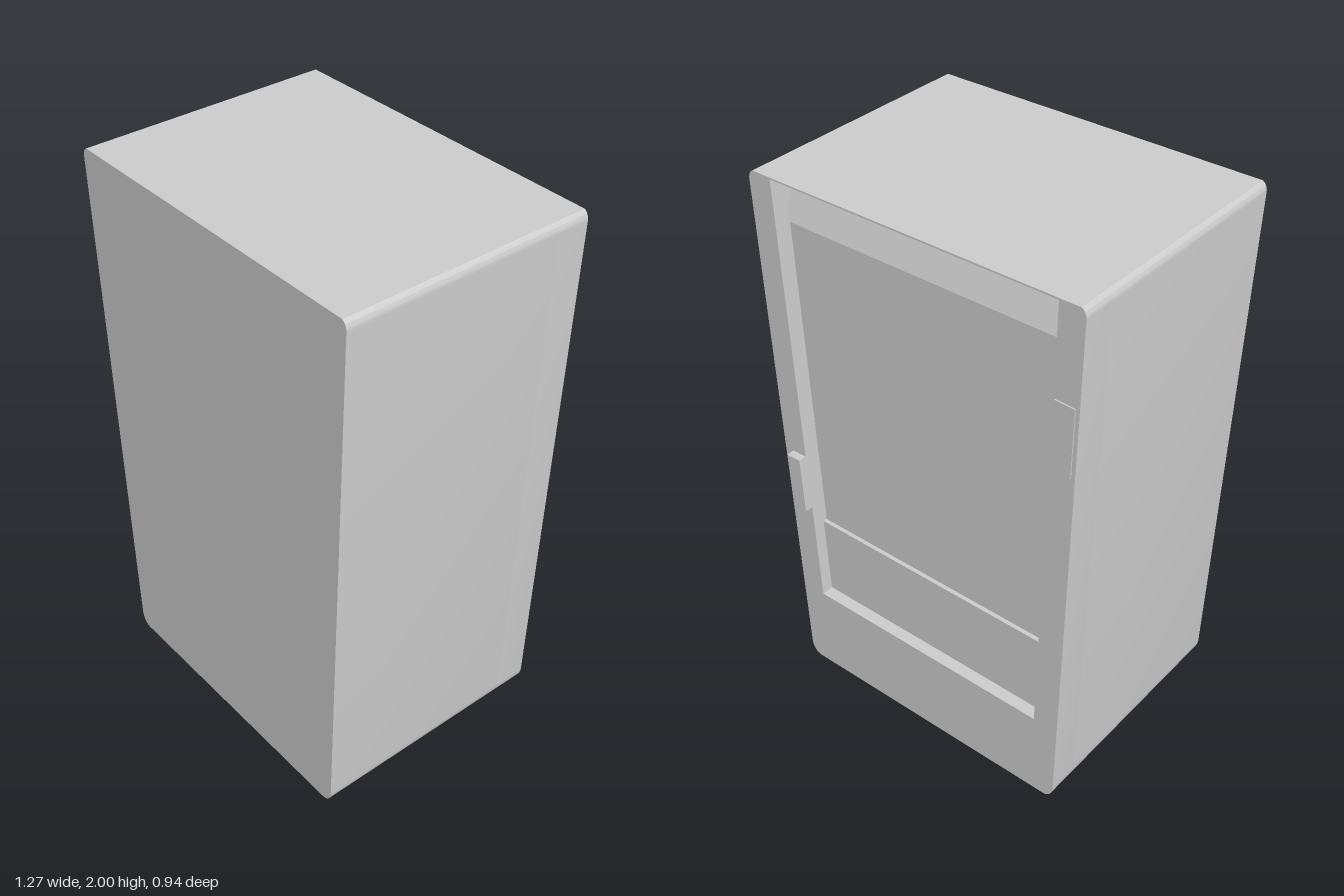
import * as THREE from 'three';
import { toCreasedNormals } from 'three/addons/utils/BufferGeometryUtils.js';

const material = new THREE.MeshStandardMaterial({ color: 0xcccccc });
const FRONT = 0.47, BACK = -0.44, CORE = -0.32; // z planes of the cabinet
const LEAN = Math.atan(0.0335); // outward lean of the side walls

// Tapered cabinet outline, wider at the top, with rounded corners
function outline() {
  const s = new THREE.Shape();
  s.moveTo(-0.53, 0);
  s.lineTo(0.53, 0);
  s.quadraticCurveTo(0.566, 0.004, 0.57, 0.055);
  s.lineTo(0.634, 1.965);
  s.quadraticCurveTo(0.635, 1.99, 0.617, 2);
  s.lineTo(-0.617, 2);
  s.quadraticCurveTo(-0.635, 1.99, -0.634, 1.965);
  s.lineTo(-0.57, 0.055);
  s.quadraticCurveTo(-0.566, 0.004, -0.53, 0);
  return s;
}

function extrude(shape, depth) {
  const g = new THREE.ExtrudeGeometry(shape, { depth, bevelEnabled: false, curveSegments: 6 });
  return toCreasedNormals(g, 0.5);
}

function add(group, name, geometry, x = 0, y = 0, z = 0) {
  const mesh = new THREE.Mesh(geometry, material);
  mesh.name = name;
  mesh.position.set(x, y, z);
  group.add(mesh);
  return mesh;
}

export function createModel() {
  const group = new THREE.Group();
  group.name = 'cabinet';

  // Solid body
  add(group, 'body', extrude(outline(), FRONT - CORE), 0, 0, CORE);

  // Surround with the tall opening, reaching up to the thin roof
  const frame = outline();
  frame.holes.push(new THREE.Path([
    new THREE.Vector2(-0.485, 0.34), new THREE.Vector2(-0.543, 1.994),
    new THREE.Vector2(0.543, 1.994), new THREE.Vector2(0.485, 0.34),
  ]));
  add(group, 'openingFrame', extrude(frame, CORE - BACK), 0, 0, BACK);

  // Recessed face: lower panel, main panel and sloping header, as one side profile.
  // Each pair is the depth behind the frame and the height.
  const profile = [
    [0.12, 0.33], [0.045, 0.33], [0.045, 0.65], [0.06, 0.65],
    [0.06, 1.84], [0.043, 1.84], [0.105, 1.994], [0.12, 1.994],
  ];
  const side = new THREE.Shape(profile.map(([d, y]) => new THREE.Vector2(-(BACK + d), y)));
  const inset = extrude(side, 1.12);
  inset.rotateY(Math.PI / 2);
  add(group, 'recessedPanels', inset, -0.56, 0, 0);

  // Handle and thin plate on the uprights, leaning with the walls
  const handle = add(group, 'handle', new THREE.BoxGeometry(0.058, 0.22, 0.04), 0.532, 0.85, -0.45);
  handle.rotation.z = -LEAN;
  const plate = add(group, 'controlPlate', new THREE.BoxGeometry(0.072, 0.25, 0.015), -0.57, 1.545, -0.437);
  plate.rotation.z = LEAN;

  return group;
}
